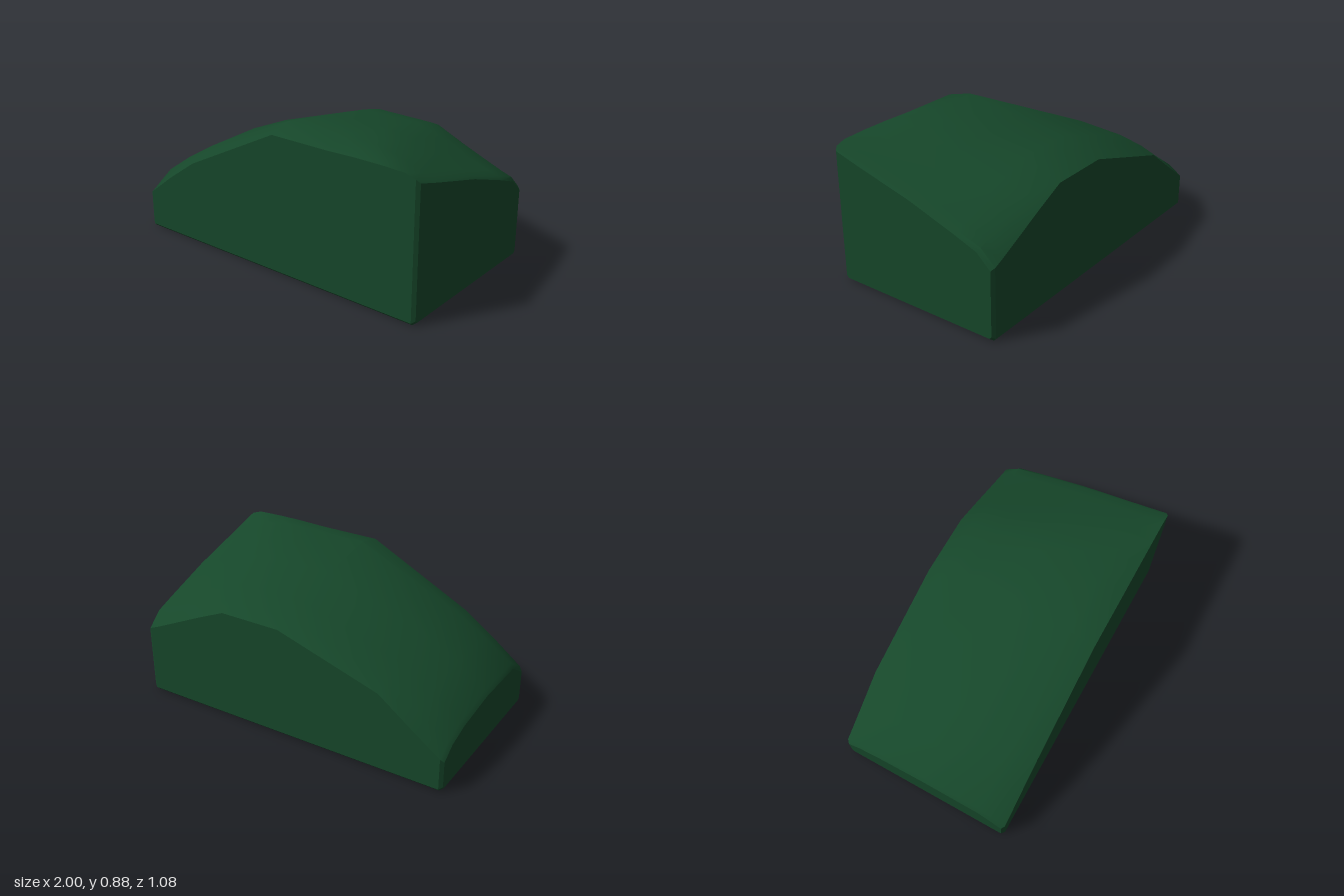
import * as THREE from 'three';
import { toCreasedNormals } from 'three/addons/utils/BufferGeometryUtils.js';

// Depth stations of the sloping top, as z at full width.
const HALF = 0.54;
const DEPTHS = [-HALF, -0.45, -0.3, 0, 0.38, HALF];

// Cross-sections along x: inset of the softened edge, then top height at each depth.
const SECTIONS = [
  { x: -1.0, inset: 0.015, top: [0.19, 0.25, 0.29, 0.32, 0.31, 0.21] },
  { x: -0.98, inset: 0, top: [0.21, 0.27, 0.315, 0.345, 0.335, 0.235] },
  { x: -0.8, inset: 0, top: [0.34, 0.39, 0.435, 0.48, 0.46, 0.375] },
  { x: -0.6, inset: 0, top: [0.49, 0.53, 0.565, 0.59, 0.58, 0.515] },
  { x: 0.04, inset: 0, top: [0.69, 0.735, 0.77, 0.82, 0.88, 0.84] },
  { x: 0.42, inset: 0, top: [0.69, 0.73, 0.77, 0.82, 0.88, 0.84] },
  { x: 0.6, inset: 0, top: [0.61, 0.665, 0.715, 0.795, 0.88, 0.845] },
  { x: 0.77, inset: 0, top: [0.53, 0.6, 0.65, 0.745, 0.845, 0.845] },
  { x: 0.92, inset: 0, top: [0.46, 0.54, 0.59, 0.69, 0.79, 0.84] },
  { x: 0.98, inset: 0, top: [0.435, 0.52, 0.57, 0.67, 0.77, 0.82] },
  { x: 1.0, inset: 0.015, top: [0.42, 0.5, 0.555, 0.655, 0.755, 0.8] },
];

// One closed outline: bottom from back to front, then over the top to the back.
function outline({ x, inset, top }) {
  const w = HALF - inset;
  const bevel = 0.015;
  const ring = [
    [x, inset + bevel, -w],
    [x, inset, -w + bevel],
    [x, inset, w - bevel],
    [x, inset + bevel, w],
  ];
  for (let i = DEPTHS.length - 1; i >= 0; i--) {
    ring.push([x, top[i], (DEPTHS[i] * w) / HALF]);
  }
  return ring;
}

// Skin the outlines and close both ends.
function loft(rings) {
  const n = rings[0].length;
  const last = (rings.length - 1) * n;
  const points = rings.flat();
  const leftCap = points.push([rings[0][0][0], 0.12, 0]) - 1;
  const rightCap = points.push([rings[rings.length - 1][0][0], 0.3, 0]) - 1;
  const index = [];
  for (let j = 0; j < n; j++) {
    const k = (j + 1) % n;
    for (let r = 0; r < last; r += n) {
      index.push(r + j, r + n + j, r + k, r + k, r + n + j, r + n + k);
    }
    index.push(leftCap, j, k, rightCap, last + k, last + j);
  }
  const geometry = new THREE.BufferGeometry();
  geometry.setAttribute('position', new THREE.Float32BufferAttribute(points.flat(), 3));
  geometry.setIndex(index);
  return toCreasedNormals(geometry, 0.55);
}

export function createModel() {
  const group = new THREE.Group();
  group.name = 'slopedBlock';
  const green = new THREE.MeshStandardMaterial({ color: 0x16472a });
  const body = new THREE.Mesh(loft(SECTIONS.map(outline)), green);
  body.name = 'body';
  group.add(body);
  return group;
}
